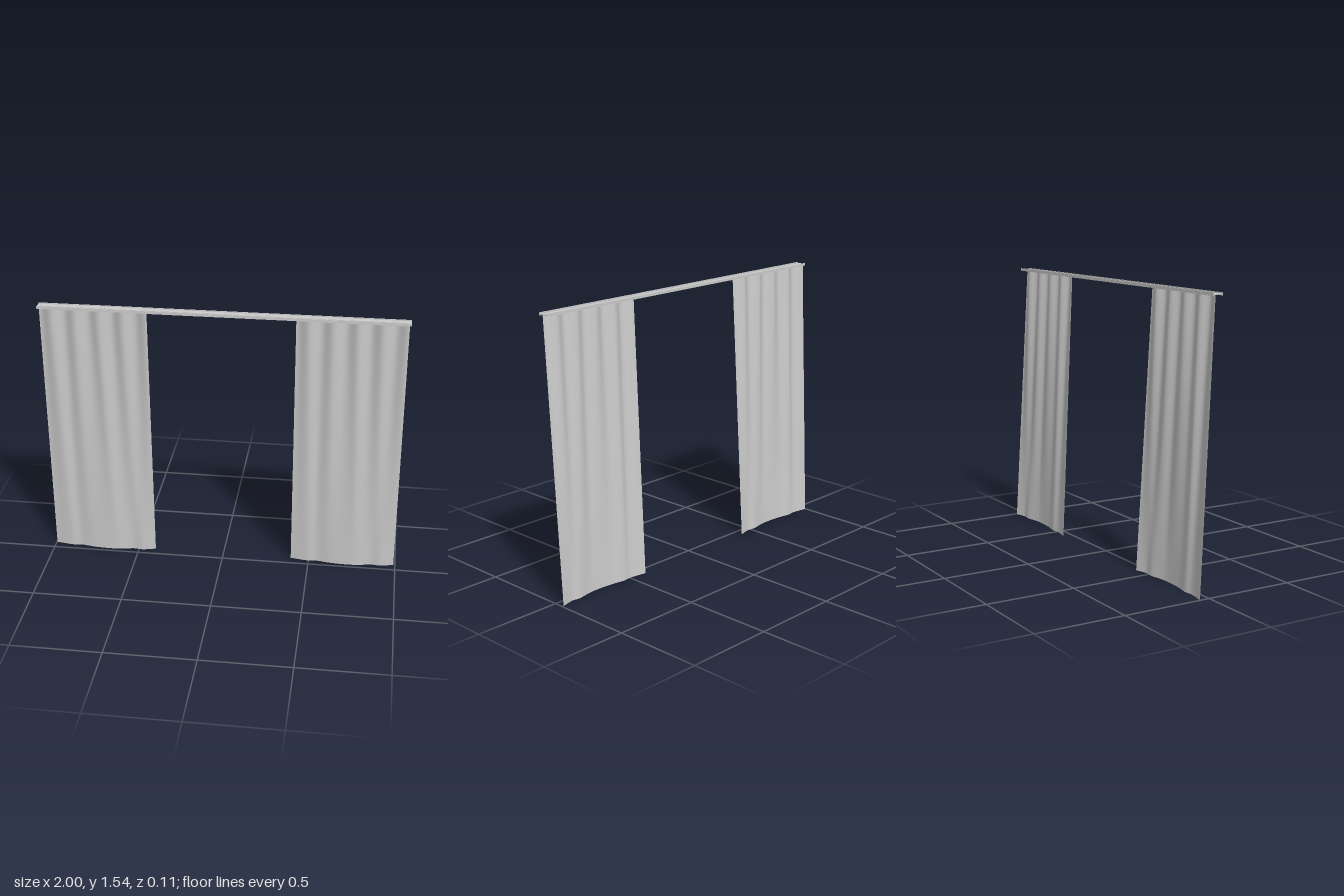
import * as THREE from 'three';

const material = new THREE.MeshStandardMaterial({ color: 0xcccccc, side: THREE.DoubleSide });
const TOP = 1.53, WIDTH = 0.595;

// Bottom hem: a shallow bow with soft ripples, as [distance across, z]
const hem = new THREE.CatmullRomCurve3([
  [0, -0.054], [0.1, -0.039], [0.15, -0.043], [0.23, -0.03], [0.34, -0.024],
  [0.4, -0.029], [0.47, -0.041], [0.52, -0.036], [0.595, -0.054],
].map(([x, z]) => new THREE.Vector3(x, 0, z)));

// Top heading: regular pleats
const pleat = (d) => 0.027 - 0.013 * Math.cos((2 * Math.PI * (d - 0.135)) / 0.13);

// Hanging cloth ruled between the pleated heading and the hem
function makeCurtain(name, x0) {
  const geometry = new THREE.PlaneGeometry(1, 1, 80, 24);
  const pos = geometry.attributes.position;
  for (let i = 0; i < pos.count; i++) {
    const u = pos.getX(i) + 0.5, v = pos.getY(i) + 0.5;
    const low = hem.getPoint(u);
    const x = THREE.MathUtils.lerp(low.x, u * WIDTH, v);
    const z = THREE.MathUtils.lerp(low.z, pleat(u * WIDTH), v);
    pos.setXYZ(i, x0 + x, v * TOP, z);
  }
  geometry.computeVertexNormals();
  const mesh = new THREE.Mesh(geometry, material);
  mesh.name = name;
  return mesh;
}

// Box given by its limits in y and z, running along x
function makeBar(name, length, y0, y1, z0, z1) {
  const mesh = new THREE.Mesh(new THREE.BoxGeometry(length, y1 - y0, z1 - z0), material);
  mesh.position.set(0, (y0 + y1) / 2, (z0 + z1) / 2);
  mesh.name = name;
  return mesh;
}

export function createModel() {
  const model = new THREE.Group();
  model.name = 'curtains';

  // Rail: flat web, a lip along each edge and a raised rib on top
  const rail = new THREE.Group();
  rail.name = 'rail';
  rail.add(
    makeBar('railWeb', 2, 1.529, 1.534, 0.002, 0.053),
    makeBar('railBackLip', 2, 1.524, 1.539, -0.001, 0.003),
    makeBar('railFrontLip', 2, 1.524, 1.539, 0.052, 0.056),
    makeBar('railRib', 1.96, 1.533, 1.537, 0.037, 0.041),
  );

  model.add(rail, makeCurtain('rightCurtain', -0.997), makeCurtain('leftCurtain', 0.396));
  return model;
}
